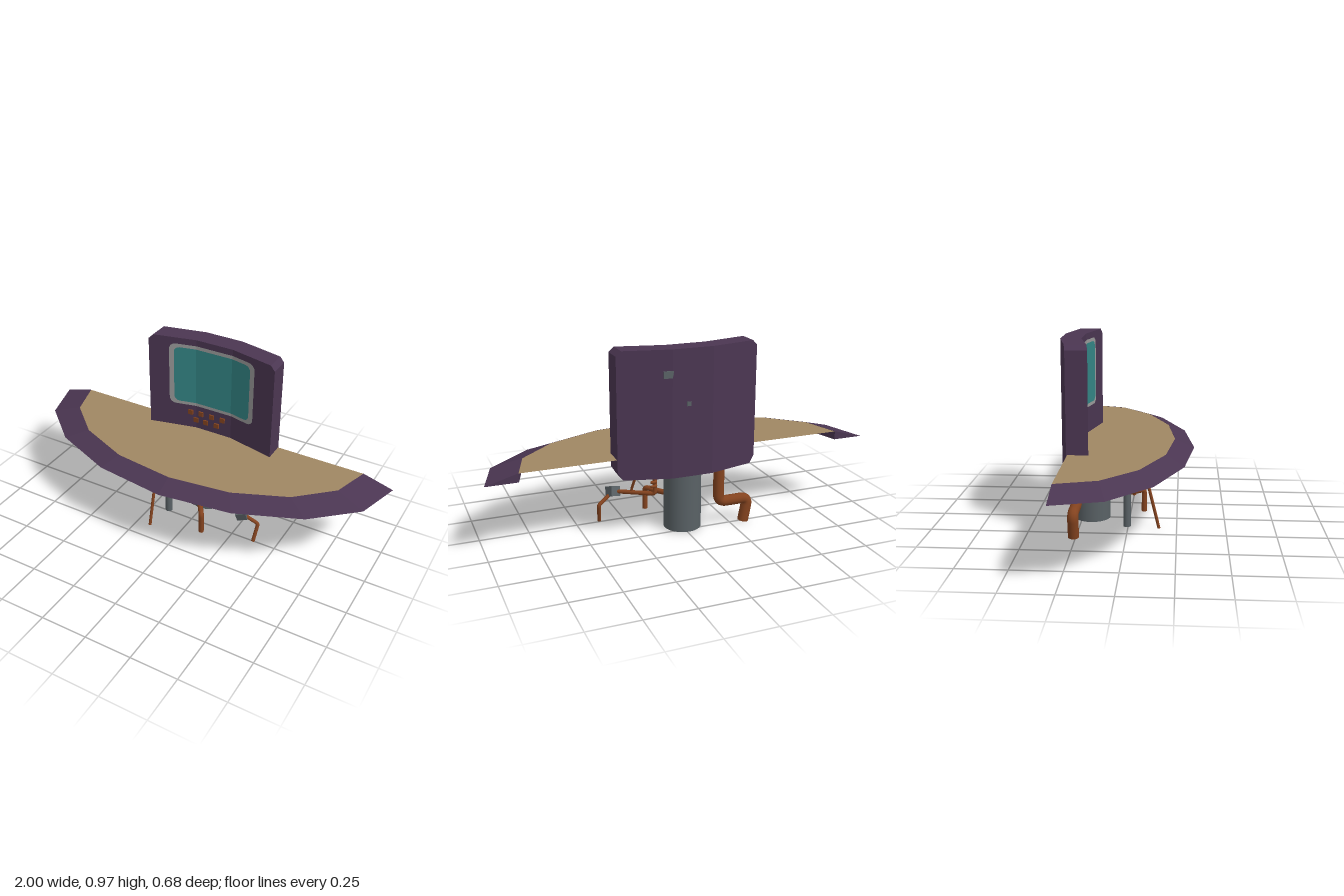
import * as THREE from 'three';

const paint = (name, color, extra = {}) =>
  Object.assign(new THREE.MeshStandardMaterial({ color, ...extra }), { name });
const V = (p) => new THREE.Vector3(...p);

// Skin over matching cross-sections, listed from -x to +x, each running top, front, bottom, back
function loft(sections, closed) {
  const pos = [], n = sections[0].length;
  const tri = (a, b, c) => pos.push(...a, ...b, ...c);
  for (let i = 0; i < sections.length - 1; i++) {
    const s = sections[i], t = sections[i + 1];
    for (let k = 0; k < (closed ? n : n - 1); k++) {
      const m = (k + 1) % n;
      tri(s[k], s[m], t[m]);
      tri(s[k], t[m], t[k]);
    }
  }
  if (closed) {
    const a = sections[0], b = sections[sections.length - 1];
    for (let k = 1; k < n - 1; k++) {
      tri(a[0], a[k + 1], a[k]);
      tri(b[0], b[k], b[k + 1]);
    }
  }
  const g = new THREE.BufferGeometry();
  g.setAttribute('position', new THREE.Float32BufferAttribute(pos, 3));
  g.computeVertexNormals();
  return g;
}

// Concave front and convex back of the monitor
const bend = (x) => Math.max(0, Math.abs(x) - 0.105) / 0.255;
const frontZ = (x) => -0.235 + 0.058 * bend(x);
const backZ = (x) => -0.34 + 0.055 * bend(x);

export function createModel() {
  const group = new THREE.Group();
  const purple = paint('purple casing', 0x4b3652);
  const tan = paint('tan desktop', 0xa08763, { side: THREE.DoubleSide });
  const rust = paint('rust copper', 0x84431f);
  const steel = paint('dark steel', 0x596165);
  const teal = paint('teal screen', 0x348686);
  const silver = paint('light grey bezel', 0x9b9b9b);

  const add = (name, geo, mat, p = [0, 0, 0], parent = group) => {
    const m = new THREE.Mesh(geo, mat);
    m.name = name;
    m.position.set(...p);
    parent.add(m);
    return m;
  };
  const box = (name, size, mat, p) => add(name, new THREE.BoxGeometry(...size), mat, p);
  // Cylinder between two points
  const rod = (name, a, b, r, mat, parent) => {
    const A = V(a), B = V(b), d = B.clone().sub(A);
    const m = add(name, new THREE.CylinderGeometry(r, r, d.length(), 20), mat,
      A.clone().add(B).multiplyScalar(0.5).toArray(), parent);
    m.quaternion.setFromUnitVectors(new THREE.Vector3(0, 1, 0), d.normalize());
    return m;
  };
  // Pipe with rounded elbows and capped ends
  const pipe = (name, points, r, mat = rust) => {
    const pts = points.map(V), path = new THREE.CurvePath();
    let from = pts[0];
    for (let i = 1; i < pts.length - 1; i++) {
      const toward = (q) => pts[i].clone().add(q.clone().sub(pts[i])
        .setLength(Math.min(r * 1.4, q.distanceTo(pts[i]) * 0.45)));
      const a = toward(pts[i - 1]), b = toward(pts[i + 1]);
      path.add(new THREE.LineCurve3(from, a));
      path.add(new THREE.QuadraticBezierCurve3(a, pts[i], b));
      from = b;
    }
    const end = pts[pts.length - 1];
    path.add(new THREE.LineCurve3(from, end));
    add(name, new THREE.TubeGeometry(path, 64, r, 12), mat);
    [[pts[0], pts[1]], [end, pts[pts.length - 2]]].forEach(([p, q]) => {
      const cap = add(name + 'Cap', new THREE.CircleGeometry(r, 12), mat, p.toArray());
      cap.lookAt(p.clone().multiplyScalar(2).sub(q));
    });
  };

  // Crescent desk: flat top with a sloping rim
  const half = [
    [-0.84, -0.28, -1, -0.28], [-0.78, -0.085, -0.93, -0.045],
    [-0.6, 0.08, -0.71, 0.15], [-0.325, 0.195, -0.38, 0.285]];
  const edge = [...half, [0, 0.235, 0, 0.335],
    ...half.slice().reverse().map(([a, b, c, d]) => [-a, b, -c, d])];
  add('deskRim', loft(edge.map(([ix, iz, ox, oz]) =>
    [[ix, 0.43, iz], [ox, 0.385, oz], [ix, 0.385, iz]]), true), purple);
  const top = new THREE.Shape(edge.map(([x, z]) => new THREE.Vector2(x, -z)));
  add('desktop', new THREE.ShapeGeometry(top).rotateX(-Math.PI / 2), tan, [0, 0.429, 0]);

  // Curved monitor casing with clipped corners
  const casing = [[-0.36, 0.365, 0.935], [-0.335, 0.325, 0.96], [-0.105, 0.32, 0.96],
    [0.105, 0.32, 0.96], [0.34, 0.325, 0.96], [0.365, 0.365, 0.935]];
  add('monitorCasing', loft(casing.map(([x, lo, hi]) => [[x, hi, frontZ(x)],
    [x, lo, frontZ(x)], [x, lo, backZ(x)], [x, hi, backZ(x)]]), true), purple);

  // Rounded plates that follow the curved front
  const plate = (name, x0, x1, y0, y1, r, lift, mat) => {
    const stations = [];
    for (let i = 0; i <= 4; i++) {
      const a = (i / 4) * Math.PI / 2;
      stations.push([x0 + r * (1 - Math.cos(a)), r * (1 - Math.sin(a))]);
      stations.push([x1 - r * (1 - Math.cos(a)), r * (1 - Math.sin(a))]);
    }
    stations.push([-0.105, 0], [0.105, 0]);
    stations.sort((a, b) => a[0] - b[0]);
    add(name, loft(stations.map(([x, inset]) =>
      [[x, y1 - inset, frontZ(x) + lift], [x, y0 + inset, frontZ(x) + lift]]), false), mat);
  };
  plate('screenBezel', -0.25, 0.245, 0.568, 0.927, 0.035, 0.003, silver);
  plate('screen', -0.222, 0.22, 0.588, 0.91, 0.03, 0.007, teal);

  // Two staggered rows of buttons
  [[-0.135, 0.525], [-0.075, 0.525], [-0.01, 0.525], [0.055, 0.525],
    [-0.105, 0.48], [-0.045, 0.48], [0.02, 0.48]].forEach(([x, y]) =>
    box('button', [0.027, 0.027, 0.009], rust, [x, y, frontZ(x) + 0.003]));

  // Small bare patches on the back
  box('backPatch', [0.05, 0.035, 0.006], steel, [0.125, 0.84, -0.337]);
  box('backPatch', [0.022, 0.022, 0.006], steel, [0.02, 0.69, -0.34]);

  // Pedestal and mounting drum
  add('pedestal', new THREE.CylinderGeometry(0.096, 0.096, 0.31, 32), steel, [-0.005, 0.155, -0.198]);
  add('mountingDrum', new THREE.CylinderGeometry(1, 1, 0.077, 32), steel, [0, 0.346, -0.11])
    .scale.set(0.29, 1, 0.2);

  // Slim side post with collar
  rod('sidePost', [-0.148, 0, -0.005], [-0.148, 0.35, -0.005], 0.019, steel);
  rod('postCollar', [-0.148, 0.205, -0.005], [-0.148, 0.29, -0.005], 0.03, steel);

  // Pipework
  pipe('drainPipe', [[-0.18, 0.34, -0.26], [-0.18, 0.125, -0.26],
    [-0.345, 0.125, -0.26], [-0.322, 0, -0.26]], 0.028);
  pipe('centrePipe', [[0, 0.31, -0.075], [0, 0.12, -0.075],
    [0.1, 0.12, 0.072], [0.1, 0, 0.072]], 0.014);
  pipe('frontLegPipe', [[-0.16, 0.255, 0], [-0.168, 0.245, 0.1], [-0.17, 0, 0.16]], 0.008);
  pipe('sidePipe', [[0.12, 0.285, -0.08], [0.12, 0.285, -0.135],
    [0.12, 0.165, -0.135], [0.3, 0.155, 0]], 0.011);
  pipe('footPipe', [[0.3, 0.155, 0], [0.388, 0.1, -0.027], [0.378, 0, 0.005]], 0.01);
  pipe('branchPipe', [[0.12, 0.275, -0.1], [0.205, 0.275, -0.1], [0.22, 0.18, -0.06],
    [0.22, 0.162, -0.06]], 0.007);
  pipe('linkPipe', [[-0.148, 0.25, 0], [-0.09, 0.25, -0.01], [-0.09, 0.29, -0.04],
    [0, 0.285, -0.06]], 0.006);
  [0.215, 0.238].forEach((y) =>
    pipe('pipeStub', [[0.12, y, -0.13], [0.12, y, -0.157], [0.15, y, -0.157]], 0.007));

  // Junction boxes
  box('centreBox', [0.088, 0.065, 0.068], steel, [0, 0.268, -0.08]);
  box('sideJunction', [0.055, 0.05, 0.055], steel, [0.303, 0.155, 0]).rotation.set(0.3, 0.35, 0.1);

  // Barrel valves with spoked hand wheels
  const valve = (a, b, hub) => {
    const g = new THREE.Group();
    g.name = 'valve';
    group.add(g);
    rod('valveBarrel', a, b, 0.034, rust, g);
    rod('valveShaft', b, hub, 0.013, steel, g);
    const wheel = new THREE.Group();
    wheel.name = 'handWheel';
    g.add(wheel);
    wheel.position.set(...hub);
    wheel.lookAt(V(hub).multiplyScalar(2).sub(V(b)));
    add('wheelRim', new THREE.TorusGeometry(0.029, 0.005, 8, 24), purple, [0, 0, 0], wheel);
    for (let i = 0; i < 3; i++) {
      add('wheelSpoke', new THREE.BoxGeometry(0.056, 0.005, 0.005), purple, [0, 0, 0], wheel)
        .rotation.z = i * Math.PI / 3;
    }
  };
  valve([0.165, 0.345, 0.01], [0.235, 0.318, 0.1], [0.268, 0.305, 0.135]);
  valve([0.11, 0.34, 0.015], [0.11, 0.308, 0.13], [0.11, 0.298, 0.185]);

  return group;
}
